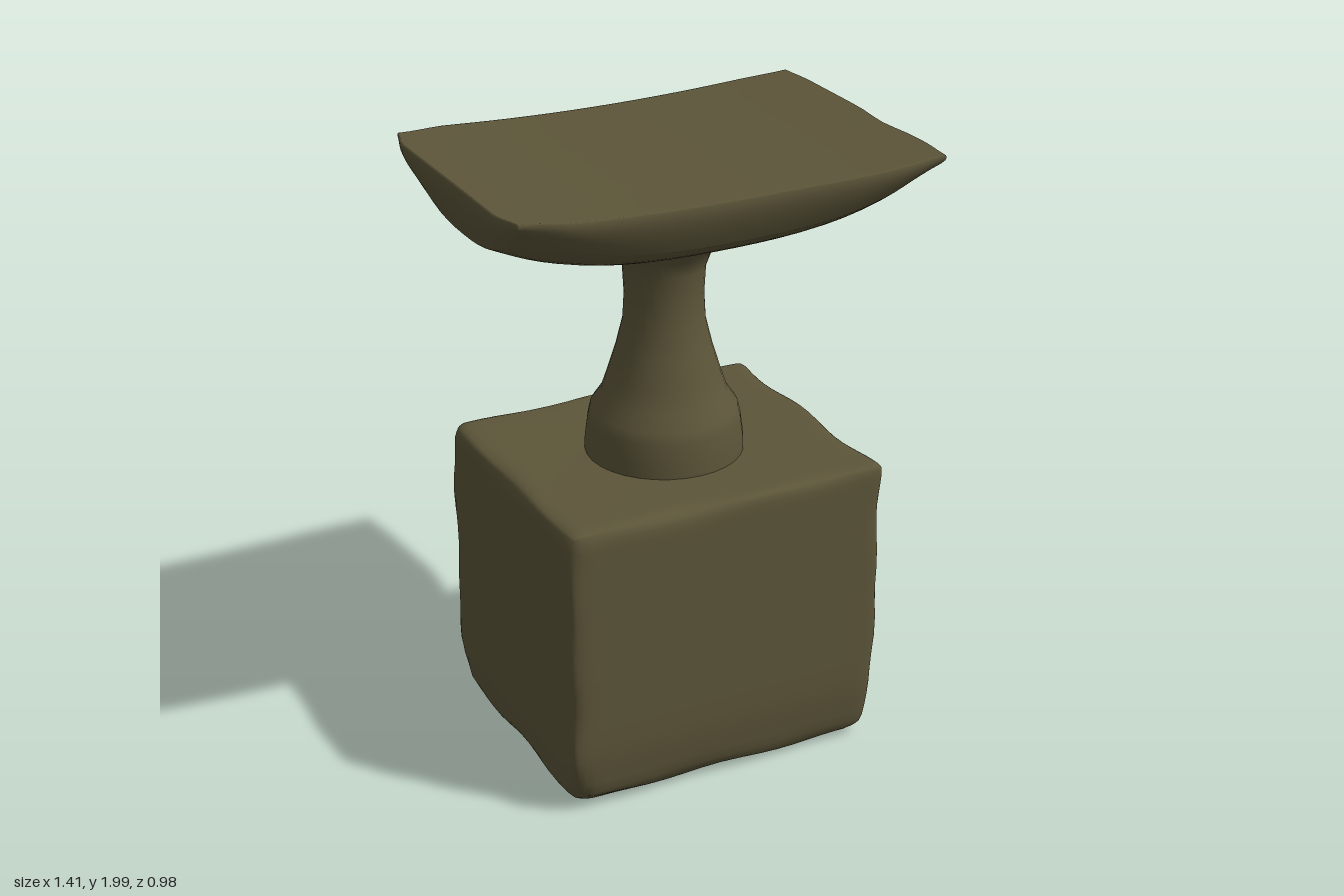
import * as THREE from 'three';
import { mergeVertices } from 'three/addons/utils/BufferGeometryUtils.js';

// Finely divided unit box (-1..1) whose vertices gather toward the edges, moved by a rule
function shapedBox(nx, ny, nz, rule) {
  let g = new THREE.BoxGeometry(2, 2, 2, nx, ny, nz);
  g.deleteAttribute('uv');
  g.deleteAttribute('normal');
  g = mergeVertices(g, 1e-4);
  const p = g.attributes.position;
  const ease = s => Math.sin(s * Math.PI / 2);
  const v = new THREE.Vector3();
  for (let i = 0; i < p.count; i++) {
    v.set(ease(p.getX(i)), ease(p.getY(i)), ease(p.getZ(i)));
    rule(v);
    p.setXYZ(i, v.x, v.y, v.z);
  }
  g.computeVertexNormals();
  return g;
}

// Rounds the edges of a box of the given half size by radius r
function roundEdges(v, half, r) {
  const inner = half.clone().subScalar(r);
  const core = v.clone().clamp(inner.clone().negate(), inner);
  const d = v.clone().sub(core);
  if (d.length() > r) v.copy(core).add(d.setLength(r));
}

export function createModel() {
  const group = new THREE.Group();
  const stone = new THREE.MeshStandardMaterial({ color: 0x5c5539 });
  stone.name = 'olive stone';
  const add = (name, geometry) => {
    const mesh = new THREE.Mesh(geometry, stone);
    mesh.name = name;
    group.add(mesh);
  };

  // Worn base block, with chipped edges and a softer bottom
  const half = new THREE.Vector3(0.545, 0.495, 0.46);
  add('baseBlock', shapedBox(24, 24, 24, v => {
    v.multiply(half);
    const low = THREE.MathUtils.smoothstep(-v.y, 0.25, 0.5);
    const chip = Math.sin(v.y * 17 + v.x * 5) * Math.cos(v.x * 9 + v.z * 13 + v.y * 4);
    roundEdges(v, half, 0.045 + 0.035 * low + 0.018 * chip);
    v.x *= 1 - 0.03 * low;
    v.z *= 1 - 0.05 * low;
    // slight hollow across the top
    if (v.y > 0.4) v.y -= 0.012 * (1 - (v.x / 0.545) ** 2) * (1 - (v.z / 0.46) ** 2);
    v.x -= 0.003;
    v.y += 0.505;
  }));

  // Waisted pedestal with a collar at the foot
  const profile = [
    [0.253, 0.95], [0.252, 1.03], [0.243, 1.1], [0.234, 1.14], [0.2, 1.19], [0.18, 1.25],
    [0.152, 1.34], [0.13, 1.43], [0.125, 1.52], [0.13, 1.61], [0.148, 1.66], [0.19, 1.705], [0.25, 1.76]
  ].map(([r, y]) => new THREE.Vector2(r, y));
  add('pedestal', new THREE.LatheGeometry(profile, 32));

  // Dished slab seat with a bowed underside
  add('seat', shapedBox(28, 8, 22, v => {
    const { x: u, z: w } = v;
    const t = (v.y + 1) / 2;
    const top = 1.97 + 0.028 * u * u;
    const bottom = 1.7 + 0.12 * Math.abs(u) ** 2.6 + 0.12 * Math.abs(w) ** 2.6;
    const y = bottom + (top - bottom) * t;
    // sides lean in toward the underside and a little at the rim
    const inset = 0.055 * (1 - t) ** 1.5 + 0.012 * t ** 6;
    let x = u * (0.715 - inset);
    let z = w * (0.5 - inset);
    // trimmed corners, more on the right-hand end
    const trim = x < 0 ? 0.045 : 0.015;
    z *= 1 - trim * 1.6 * THREE.MathUtils.smoothstep(Math.abs(x), 0.52, 0.71);
    x *= 1 - trim * THREE.MathUtils.smoothstep(Math.abs(z), 0.34, 0.48);
    // gently uneven front rim and a small dent in the left end
    if (z > 0) z -= 0.02 * w * (1 - THREE.MathUtils.smoothstep(x, 0.1, 0.5));
    if (x > 0.6) x -= 0.015 * Math.exp(-(((z - 0.13) / 0.1) ** 2));
    v.set(x, y, z);
  }));

  return group;
}
